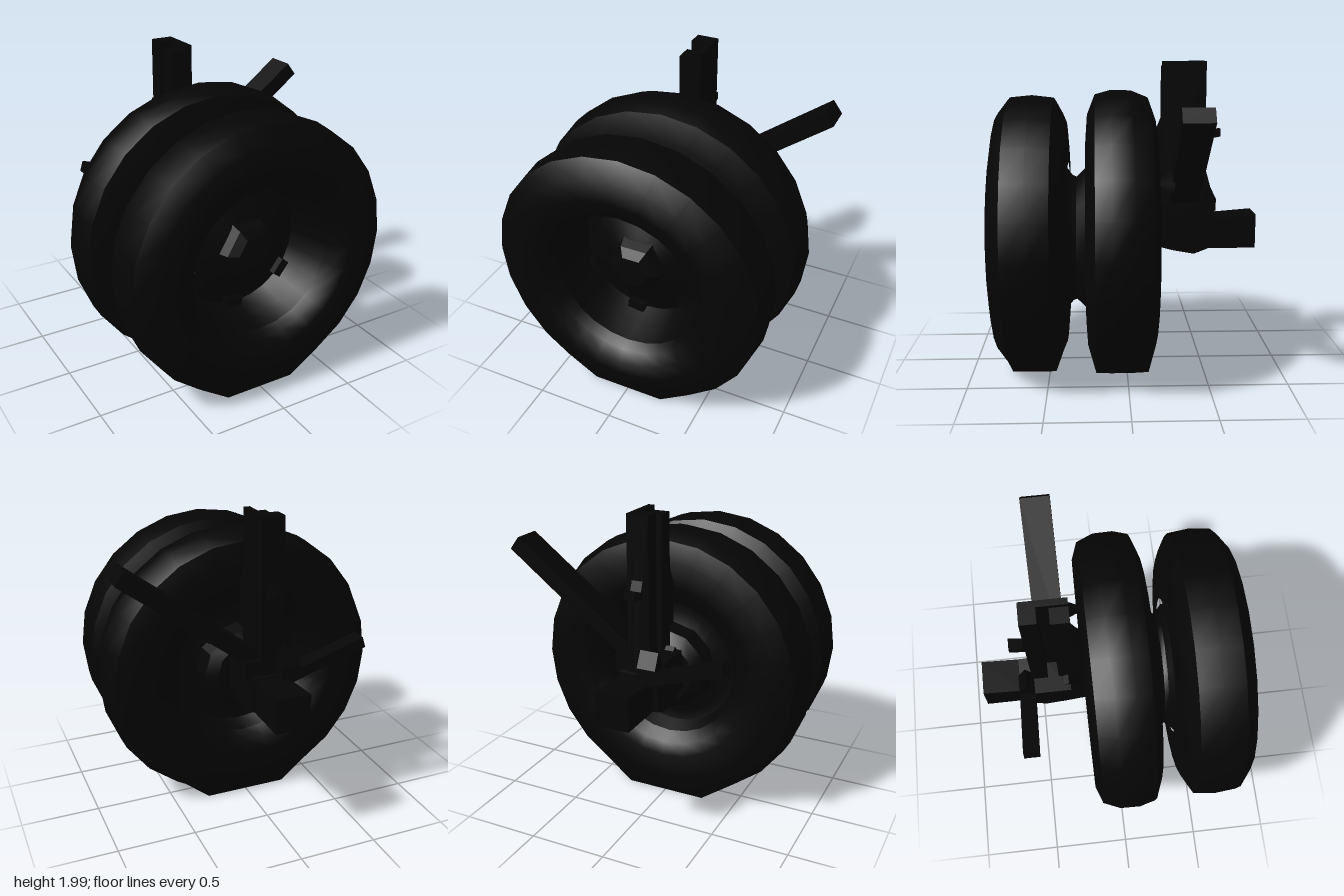
import * as THREE from 'three';
import { toCreasedNormals } from 'three/addons/utils/BufferGeometryUtils.js';

const AXLE_Y = 0.9;

export function createModel() {
  const model = new THREE.Group();
  const black = new THREE.MeshStandardMaterial({ color: 0x050505 });
  black.name = 'black';

  const add = (name, geometry, parent = model) => {
    const mesh = new THREE.Mesh(geometry, black);
    mesh.name = name;
    parent.add(mesh);
    return mesh;
  };
  // Box given by its minimum and maximum corners
  const box = (name, x0, x1, y0, y1, z0, z1) => {
    const m = add(name, new THREE.BoxGeometry(x1 - x0, y1 - y0, z1 - z0));
    m.position.set((x0 + x1) / 2, (y0 + y1) / 2, (z0 + z1) / 2);
  };
  // Bar between two points in the front plane
  const bar = (name, a, b, thick, z0, z1) => {
    const dx = b[0] - a[0], dy = b[1] - a[1];
    const m = add(name, new THREE.BoxGeometry(Math.hypot(dx, dy), thick, z1 - z0));
    m.position.set((a[0] + b[0]) / 2, (a[1] + b[1]) / 2, (z0 + z1) / 2);
    m.rotation.z = Math.atan2(dy, dx);
  };
  // Lathe around the axle; points are [radius, z] from back to front
  const turned = (points, sides, crease) => {
    const g = new THREE.LatheGeometry(points.map(p => new THREE.Vector2(...p)), sides);
    g.rotateX(Math.PI / 2);
    return toCreasedNormals(g, crease);
  };
  // Plate outlined in (z, y) and extruded along x
  const sidePlate = (name, outline, x0, x1) => {
    const shape = new THREE.Shape(outline.map(([z, y]) => new THREE.Vector2(-z, y)));
    const g = new THREE.ExtrudeGeometry(shape, { depth: x1 - x0, bevelEnabled: false });
    g.rotateY(Math.PI / 2);
    add(name, g).position.x = x0;
  };

  // Tyre, slightly spread by `spread` where it meets the ground, with its rim
  const wheel = (name, spread, profile, rim) => {
    const group = new THREE.Group();
    group.name = name;
    group.position.y = AXLE_Y;
    model.add(group);
    const tyre = turned(profile, 24, 0.8);
    const p = tyre.attributes.position;
    for (let i = 0; i < p.count; i++) {
      if (p.getY(i) < -0.8 && Math.abs(p.getX(i)) < 0.3) {
        p.setX(i, p.getX(i) * spread);
        p.setY(i, 0.012 - AXLE_Y);
      }
    }
    add('tyre', tyre, group);
    add('rim', turned(rim, 24, 0.6), group);
    return group;
  };

  wheel('rearWheel', 1.2,
    [[0.46, -0.08], [0.52, -0.15], [0.6, -0.182], [0.76, -0.18], [0.87, -0.14], [0.915, -0.03],
      [0.918, 0.1], [0.89, 0.2], [0.76, 0.25], [0.62, 0.26], [0.45, 0.25]],
    [[0.26, 0.0], [0.36, 0.03], [0.42, 0.02], [0.46, -0.08]]);

  const front = wheel('frontWheel', 1.05,
    [[0.45, 0.375], [0.6, 0.375], [0.72, 0.385], [0.78, 0.41], [0.87, 0.46], [0.886, 0.6],
      [0.872, 0.74], [0.77, 0.82], [0.65, 0.842], [0.57, 0.825], [0.51, 0.77], [0.475, 0.71]],
    [[0.475, 0.71], [0.45, 0.58], [0.41, 0.44], [0.3, 0.47], [0.2, 0.54], [0, 0.56]]);

  // Hub cap and blocks around the front rim
  const hub = add('hubCap', turned([[0.2, 0.52], [0.17, 0.6], [0.11, 0.64], [0, 0.64]], 6, 0.4), front);
  hub.position.y = 0.02;
  hub.rotation.z = Math.PI / 6;
  for (const [x, y] of [[0.04, 0.4], [0.3, -0.23], [-0.05, -0.38], [-0.34, -0.15], [-0.33, 0.22]]) {
    const lug = add('rimLug', new THREE.BoxGeometry(0.06, 0.11, 0.06), front);
    lug.position.set(x, y, 0.47);
    lug.rotation.z = Math.atan2(y, x);
  }

  // Waisted spacer between the two tyres
  const spacer = add('wheelSpacer', turned([[0.49, 0.24], [0.41, 0.32], [0.42, 0.345], [0.48, 0.39]], 14, 0.5));
  spacer.position.y = 0.85;
  spacer.scale.x = 0.9;

  // Brake drum, axle and knuckle behind the rear wheel
  add('brakeDrum', turned([[0, -0.16], [0.2, -0.16], [0.27, -0.11], [0.29, 0.03]], 12, 0.5))
    .position.y = AXLE_Y;
  sidePlate('axleBeam', [[-0.45, 0.8], [-0.84, 0.8], [-0.84, 1.02], [-0.6, 1.0], [-0.45, 1.02]], -0.11, 0.11);
  sidePlate('axleKnuckle', [[-0.15, 0.83], [-0.3, 0.79], [-0.44, 0.765], [-0.53, 0.8],
    [-0.53, 1.02], [-0.42, 1.05], [-0.28, 1.14], [-0.15, 1.0]], -0.14, 0.12);

  // Upright post: a channel open towards the model's right
  box('postWeb', 0.02, 0.06, 1.0, 2, -0.51, -0.23);
  box('postRearFlange', -0.08, 0.02, 1.0, 2, -0.51, -0.41);
  box('postFrontFlange', -0.08, 0.02, 1.0, 1.97, -0.34, -0.23);
  sidePlate('postFrontBracket', [[-0.24, 1.24], [-0.24, 1.66], [-0.2, 1.56], [-0.18, 1.53], [-0.18, 1.26]], -0.08, 0.06);
  sidePlate('postRearPeg', [[-0.5, 1.64], [-0.53, 1.55], [-0.61, 1.57], [-0.61, 1.52], [-0.5, 1.5]], -0.04, 0.03);
  box('postFoot', -0.18, 0.16, 1.0, 1.12, -0.5, -0.27);

  // Diagonal brace and its tapered stay towards the wheel
  bar('diagonalBrace', [0.05, 1.09], [0.885, 1.725], 0.1, -0.46, -0.275);
  const stay = add('braceStay', new THREE.CylinderGeometry(0.025, 0.08, 0.12, 4));
  stay.rotation.x = Math.PI / 2;
  stay.position.set(0.31, 1.27, -0.23);

  // Short side arm
  bar('sideArm', [-0.08, 1.02], [-0.59, 1.18], 0.07, -0.6, -0.5);
  sidePlate('armBracket', [[-0.48, 1.02], [-0.6, 1.02], [-0.6, 1.1], [-0.55, 1.2], [-0.48, 1.08]], -0.16, -0.04);

  return model;
}
